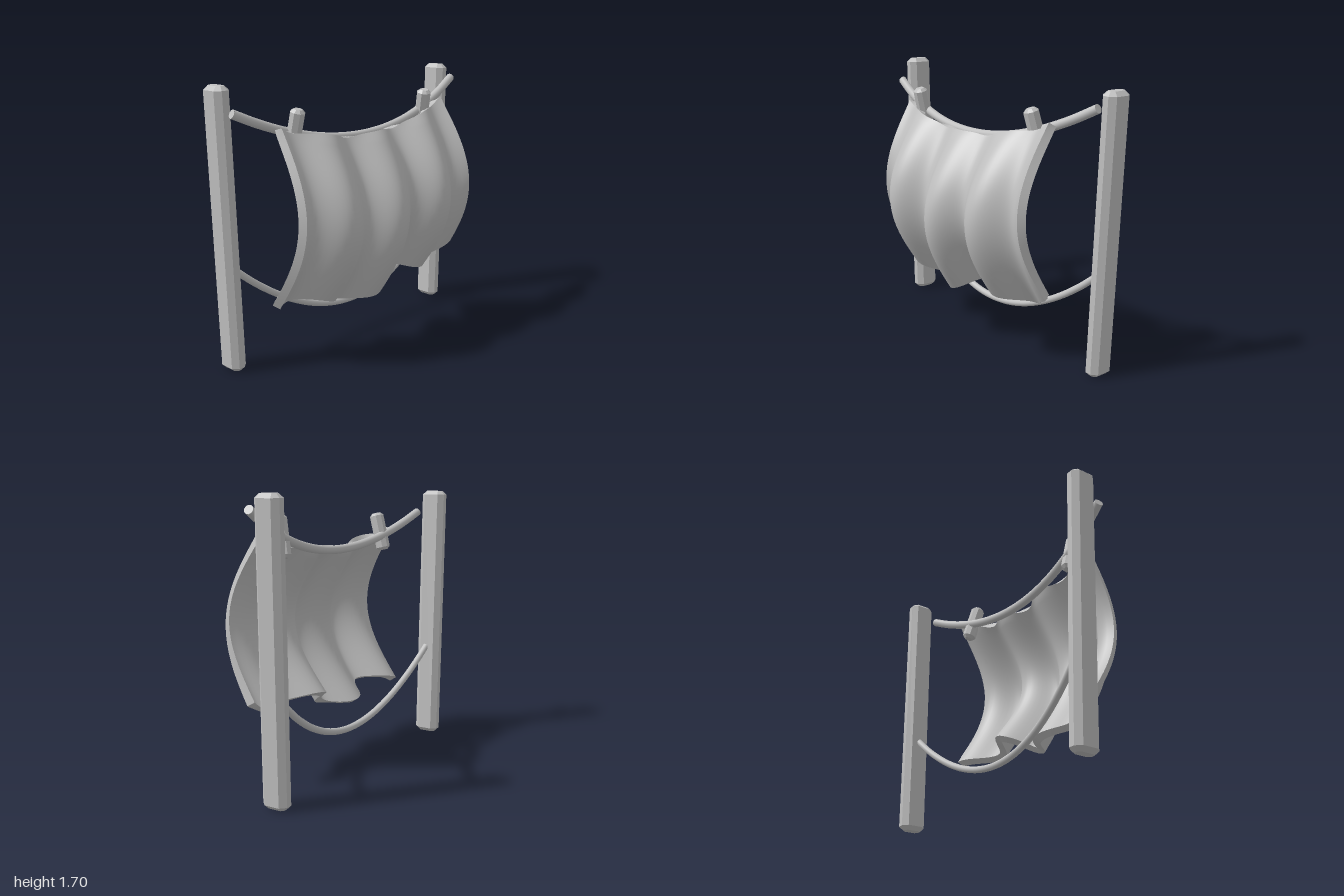
import * as THREE from 'three';

// Eight-sided bar with bevelled ends, centred on the origin and standing along y
function beveledBar(width, height, depth, bevel, cut) {
  const a = width / 2 - bevel, b = depth / 2 - bevel;
  const shape = new THREE.Shape([
    [a, -b + cut], [a, b - cut], [a - cut, b], [-a + cut, b],
    [-a, b - cut], [-a, -b + cut], [-a + cut, -b], [a - cut, -b],
  ].map(([x, y]) => new THREE.Vector2(x, y)));
  const geometry = new THREE.ExtrudeGeometry(shape, {
    depth: height - 2 * bevel, bevelThickness: bevel, bevelSize: bevel, bevelSegments: 1,
  });
  geometry.rotateX(-Math.PI / 2);
  geometry.center();
  return geometry;
}

// Sagging line: pointAt(x) gives the centre, with a flat cap on each end
function sagLine(name, halfLength, radius, pointAt, material) {
  const group = new THREE.Group();
  group.name = name;
  const points = [];
  for (let i = 0; i <= 12; i++) points.push(pointAt(halfLength * (i / 6 - 1)));
  const curve = new THREE.CatmullRomCurve3(points);
  const tube = new THREE.Mesh(new THREE.TubeGeometry(curve, 48, radius, 14), material);
  tube.name = name + 'Tube';
  group.add(tube);
  for (const t of [0, 1]) {
    const cap = new THREE.Mesh(new THREE.CircleGeometry(radius, 14), material);
    cap.name = name + 'Cap';
    cap.position.copy(curve.getPoint(t));
    const outward = curve.getTangent(t).multiplyScalar(t ? 1 : -1);
    cap.quaternion.setFromUnitVectors(new THREE.Vector3(0, 0, 1), outward);
    group.add(cap);
  }
  return group;
}

// Hanging cloth: a thin box whose vertices follow a billowing, pleated surface
function clothGeometry() {
  const hem = new THREE.SplineCurve([
    [-0.72, 0.385], [-0.6, 0.425], [-0.48, 0.42], [-0.36, 0.375], [-0.24, 0.335],
    [-0.13, 0.33], [-0.02, 0.36], [0.1, 0.435], [0.21, 0.465], [0.34, 0.435],
    [0.5, 0.415], [0.62, 0.42], [0.76, 0.51],
  ].map(([x, y]) => new THREE.Vector2(x, y)));

  // u runs left to right, v from the top edge down to the hem
  const surface = (u, v) => {
    const topX = THREE.MathUtils.lerp(-0.7, 0.705, u);
    const topY = 1.345 + 0.26 * topX * topX + 0.035 * topX;
    const low = hem.getPoint(THREE.MathUtils.clamp(u, 0, 1));
    const x = THREE.MathUtils.lerp(topX, low.x, v);
    const y = THREE.MathUtils.lerp(topY, low.y, v);
    const billow = 0.02 + 0.215 * Math.sin(Math.PI * v);
    const pleat = (0.025 + 0.05 * Math.sqrt(Math.max(v, 0)))
      * Math.cos((2 * Math.PI * (x + 0.01 + 0.03 * v * v)) / 0.41);
    return new THREE.Vector3(x, y, billow + pleat - 0.05 * Math.pow(x / 0.72, 4));
  };

  const geometry = new THREE.BoxGeometry(1, 1, 1, 72, 36, 1);
  const pos = geometry.attributes.position;
  const e = 0.004;
  for (let i = 0; i < pos.count; i++) {
    const u = pos.getX(i) + 0.5, v = 0.5 - pos.getY(i);
    const u0 = Math.max(u - e, 0), u1 = Math.min(u + e, 1);
    const v0 = Math.max(v - e, 0), v1 = Math.min(v + e, 1);
    const across = surface(u1, v).sub(surface(u0, v));
    const up = surface(u, v0).sub(surface(u, v1));
    const normal = across.cross(up).normalize();
    const p = surface(u, v).addScaledVector(normal, pos.getZ(i) * 0.05);
    pos.setXYZ(i, p.x, p.y, p.z);
  }
  geometry.computeVertexNormals();
  return geometry;
}

export function createModel() {
  const model = new THREE.Group();
  model.name = 'clothesline';
  const grey = new THREE.MeshStandardMaterial({ color: 0xc0c0c0 });
  grey.name = 'light grey';

  // Posts lean slightly outward
  const postGeometry = beveledBar(0.104, 1.695, 0.16, 0.025, 0.018);
  for (const side of [-1, 1]) {
    const post = new THREE.Mesh(postGeometry, grey);
    post.name = side > 0 ? 'leftPost' : 'rightPost';
    post.position.set(side * 0.928, 0.849, -0.257);
    post.rotation.z = -side * 0.0265;
    model.add(post);
  }

  // Upper line carries the cloth, lower line ties the posts
  model.add(sagLine('upperLine', 0.95, 0.027,
    (x) => new THREE.Vector3(x, 1.34 + 0.266 * x * x + 0.032 * x, -0.035 - 0.1 * x * x), grey));
  model.add(sagLine('lowerLine', 0.9, 0.021,
    (x) => new THREE.Vector3(x, 0.226 + 0.5 * x * x, -0.172 - 0.095 * x * x), grey));

  // Cloth
  const cloth = new THREE.Mesh(clothGeometry(), grey);
  cloth.name = 'cloth';
  model.add(cloth);

  // Pegs straddle the upper line, tipped forward
  const pegGeometry = beveledBar(0.085, 0.25, 0.085, 0.018, 0.014);
  for (const [name, x, y, tilt] of [['rightPeg', -0.572, 1.428, -0.03], ['leftPeg', 0.55, 1.448, 0.13]]) {
    const peg = new THREE.Mesh(pegGeometry, grey);
    peg.name = name;
    peg.position.set(x, y, -0.04);
    peg.rotation.set(0.23, 0, tilt);
    model.add(peg);
  }
  return model;
}
